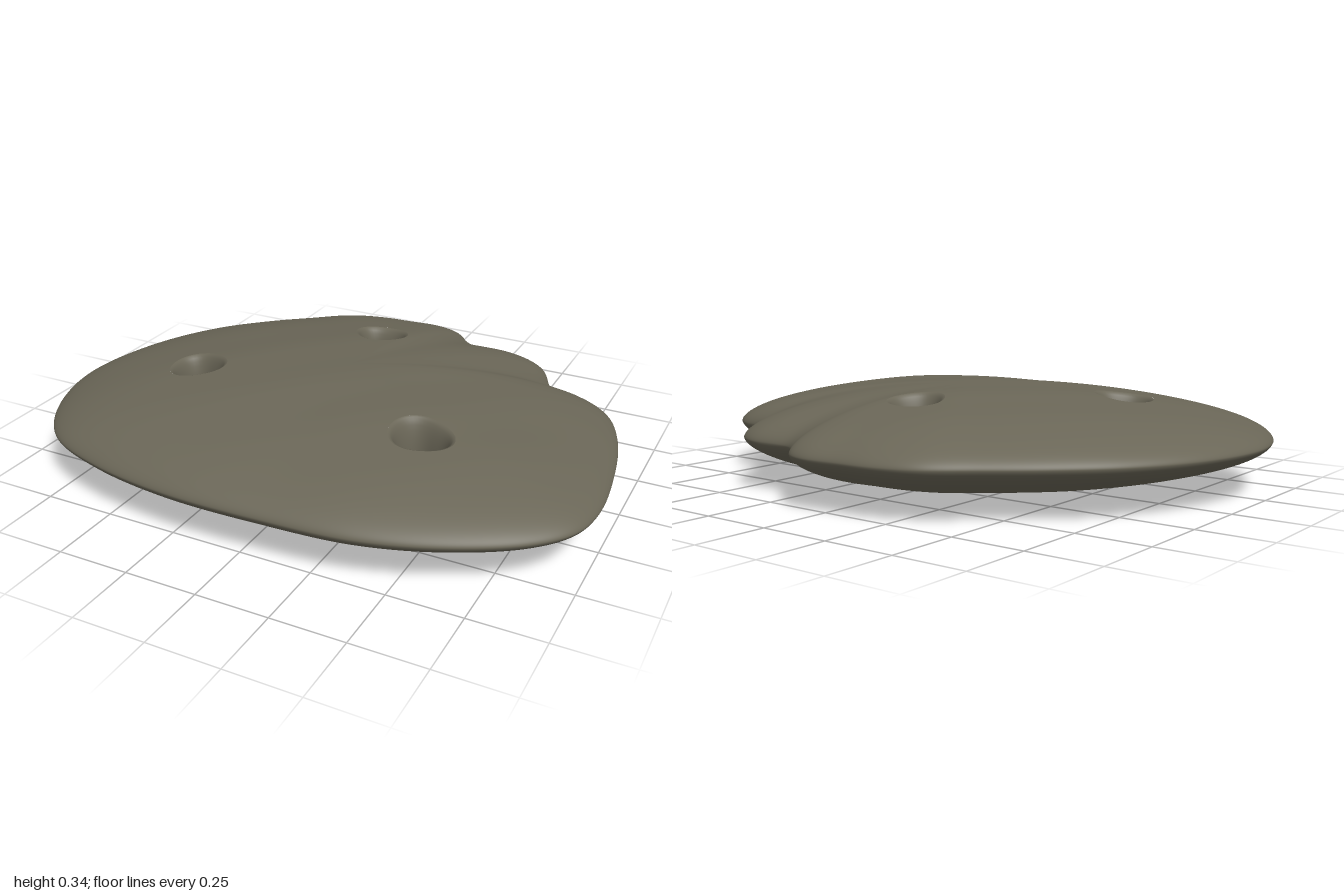
import * as THREE from 'three';
import { mergeVertices } from 'three/addons/utils/BufferGeometryUtils.js';

const MID = 0.171, LIP = 0.035, TAU = Math.PI * 2;

// Plan outline as x, z pairs
const OUTLINE = [
  0.05, -0.8, 0.13, -0.775, 0.19, -0.71, 0.26, -0.667, 0.44, -0.66, 0.53, -0.61, 0.6, -0.48, 0.66, -0.41,
  0.78, -0.39, 0.86, -0.33, 0.93, -0.18, 0.98, 0.05, 1, 0.3, 0.97, 0.44, 0.87, 0.56, 0.65, 0.69,
  0.4, 0.77, 0.1, 0.795, -0.25, 0.795, -0.55, 0.745, -0.78, 0.65, -0.92, 0.48, -1, 0.22, -0.95, -0.08,
  -0.82, -0.33, -0.66, -0.5, -0.5, -0.63, -0.36, -0.735, -0.22, -0.78, -0.08, -0.792,
];

// Holes: centre, half sizes and a little irregularity
const HOLES = [
  { x: -0.04, z: -0.36, rx: 0.064, rz: 0.06, phase: 1.6 },
  { x: -0.51, z: 0.18, rx: 0.068, rz: 0.065, phase: 0.4 },
  { x: 0.415, z: 0.315, rx: 0.075, rz: 0.06, phase: 0 },
];

function holeRadius(h, a) {
  const oval = (h.rx * h.rz) / Math.hypot(h.rz * Math.cos(a), h.rx * Math.sin(a));
  return oval * (1 + 0.07 * Math.cos(3 * a + h.phase));
}

// Outline radius for any direction, from a smooth closed curve
function makeRadius() {
  const pts = [];
  for (let i = 0; i < OUTLINE.length; i += 2) pts.push(new THREE.Vector3(OUTLINE[i], 0, OUTLINE[i + 1]));
  const samples = new THREE.CatmullRomCurve3(pts, true, 'centripetal').getPoints(900)
    .map((p) => ({ a: (Math.atan2(p.z, p.x) + TAU) % TAU, r: Math.hypot(p.x, p.z) }))
    .sort((p, q) => p.a - q.a);
  const first = samples[0], last = samples[samples.length - 1];
  samples.unshift({ a: last.a - TAU, r: last.r });
  samples.push({ a: first.a + TAU, r: first.r });
  return (angle) => {
    const a = ((angle % TAU) + TAU) % TAU;
    let i = 1;
    while (i < samples.length - 1 && samples[i].a < a) i++;
    const p = samples[i - 1], q = samples[i];
    return p.r + (q.r - p.r) * ((a - p.a) / Math.max(q.a - p.a, 1e-9));
  };
}

export function createModel() {
  const group = new THREE.Group();
  group.name = 'piercedStone';
  const stone = new THREE.MeshStandardMaterial({ color: 0x6a6657 });
  stone.name = 'dark olive stone';
  const radius = makeRadius();

  // Lens thickness above (+1) or below (-1) the middle
  function surfaceY(x, z, side) {
    const rho = Math.hypot(x, z) / radius(Math.atan2(z, x));
    const rest = Math.max(0, 1 - rho * rho);
    const wave = side > 0 ? 0.002 * Math.sin(14 * (x + z)) * rest : 0;
    return MID + side * 0.171 * Math.pow(rest < 1e-6 ? 0 : rest, 0.6) + wave;
  }

  // Positive outside the rounded lips of the holes
  function holeField(x, z) {
    return Math.min(...HOLES.map((h) => {
      const dx = x - h.x, dz = z - h.z;
      return Math.hypot(dx, dz) - holeRadius(h, Math.atan2(dz, dx)) - LIP;
    }));
  }

  // Keep the part of a plan triangle that lies outside the holes
  function clip(tri) {
    const out = [];
    tri.forEach((p, i) => {
      const q = tri[(i + 1) % 3];
      if (p.f >= 0) out.push(p);
      if ((p.f >= 0) !== (q.f >= 0)) {
        const t = p.f / (p.f - q.f);
        out.push({ x: p.x + (q.x - p.x) * t, z: p.z + (q.z - p.z) * t });
      }
    });
    return out;
  }

  function addMesh(name, positions) {
    let geo = new THREE.BufferGeometry();
    geo.setAttribute('position', new THREE.Float32BufferAttribute(positions, 3));
    geo = mergeVertices(geo, 1e-5);
    geo.computeVertexNormals();
    const mesh = new THREE.Mesh(geo, stone);
    mesh.name = name;
    group.add(mesh);
  }

  // Body: rings of the outline, denser toward the rim
  const RINGS = 56, SEGS = 260, grid = [];
  for (let i = 0; i <= RINGS; i++) {
    const rho = Math.sin((i / RINGS) * Math.PI / 2), row = [];
    for (let j = 0; j < SEGS; j++) {
      const a = (j / SEGS) * TAU, r = rho * radius(a);
      const x = r * Math.cos(a), z = r * Math.sin(a);
      row.push({ x, z, f: holeField(x, z), top: surfaceY(x, z, 1), bottom: surfaceY(x, z, -1) });
    }
    grid.push(row);
  }
  const body = [];
  const emit = (p, side) => {
    const y = (side > 0 ? p.top : p.bottom) ?? surfaceY(p.x, p.z, side);
    body.push(p.x, y, p.z);
  };
  for (let i = 0; i < RINGS; i++) {
    for (let j = 0; j < SEGS; j++) {
      const k = (j + 1) % SEGS;
      const a = grid[i][j], b = grid[i][k], c = grid[i + 1][j], d = grid[i + 1][k];
      const tris = i === 0 ? [[b, d, c]] : [[a, b, c], [b, d, c]];
      for (const tri of tris) {
        const poly = clip(tri);
        for (let n = 1; n + 1 < poly.length; n++) {
          [poly[0], poly[n], poly[n + 1]].forEach((p) => emit(p, 1));
          [poly[0], poly[n + 1], poly[n]].forEach((p) => emit(p, -1));
        }
      }
    }
  }
  addMesh('body', body);

  // Rounded walls through each hole
  const AROUND = 48, STEPS = 16;
  HOLES.forEach((h, n) => {
    const point = (s, j) => {
      const a = ((j % AROUND) / AROUND) * TAU, phi = (s / STEPS) * Math.PI;
      const r = holeRadius(h, a), ca = Math.cos(a), sa = Math.sin(a);
      const edge = surfaceY(h.x + (r + LIP) * ca, h.z + (r + LIP) * sa, phi <= Math.PI / 2 ? 1 : -1);
      const rad = r + LIP * (1 - Math.sin(phi));
      return [h.x + rad * ca, MID + Math.abs(Math.cos(phi)) * (edge - MID), h.z + rad * sa];
    };
    const wall = [];
    for (let s = 0; s < STEPS; s++) {
      for (let j = 0; j < AROUND; j++) {
        const a = point(s + 1, j), b = point(s + 1, j + 1), c = point(s, j), d = point(s, j + 1);
        wall.push(...a, ...b, ...c, ...b, ...d, ...c);
      }
    }
    addMesh('holeWall' + (n + 1), wall);
  });

  return group;
}
